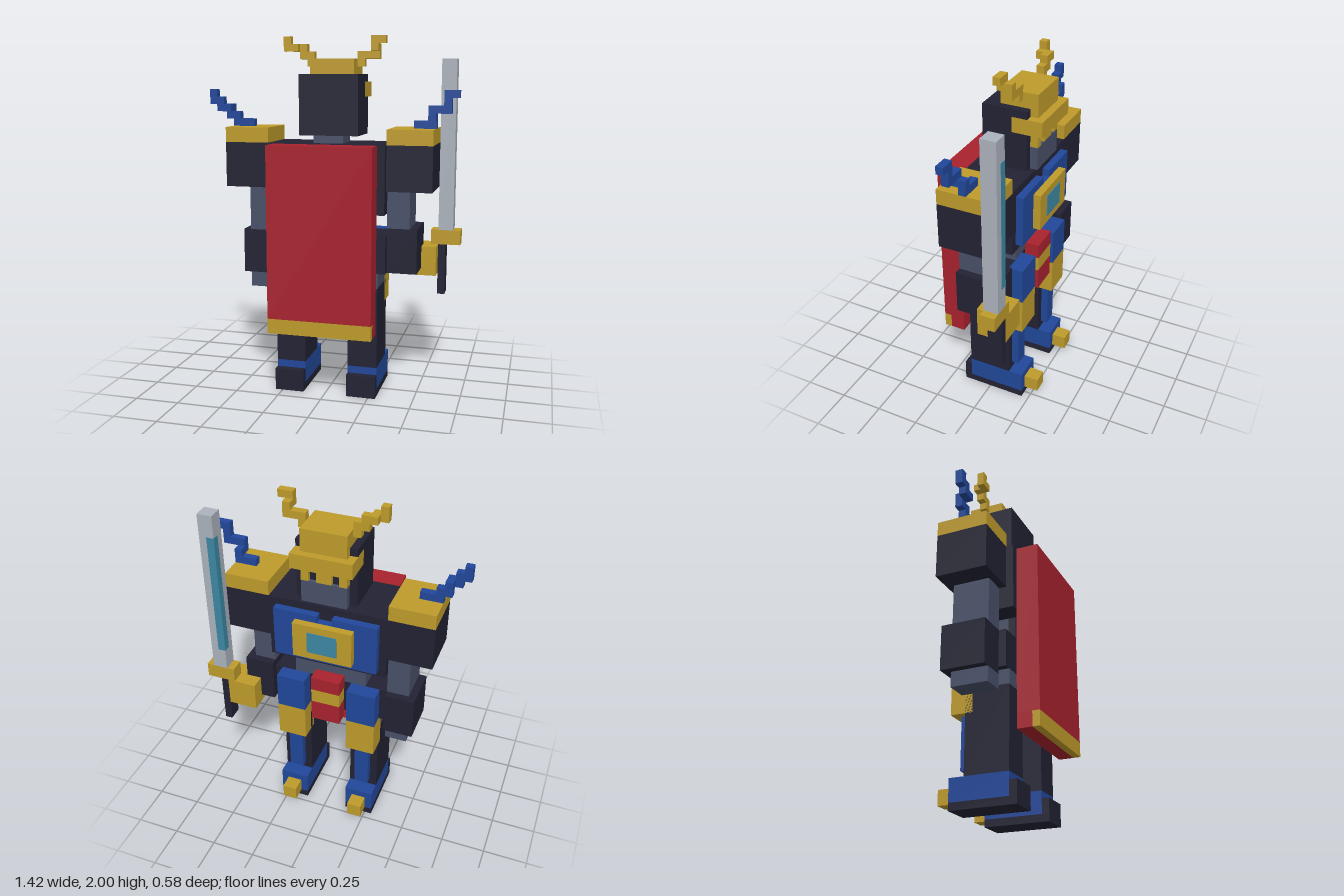
import * as THREE from 'three';

const U = 1 / 24; // size of one block

function mat(name, color) {
  const m = new THREE.MeshStandardMaterial({ color });
  m.name = name;
  return m;
}

export function createModel() {
  const model = new THREE.Group();
  model.name = 'armouredWarrior';
  const dark = mat('darkArmour', 0x222234);
  const grey = mat('slateGrey', 0x485068);
  const gold = mat('gold', 0xbe9b2b);
  const blue = mat('blue', 0x214799);
  const red = mat('red', 0xa8222e);
  const steel = mat('steel', 0xabb2bc);
  const teal = mat('teal', 0x3c87a3);

  // Box from its block ranges on x, y and z
  function box(name, m, x0, x1, y0, y1, z0, z1) {
    const mesh = new THREE.Mesh(new THREE.BoxGeometry((x1 - x0) * U, (y1 - y0) * U, (z1 - z0) * U), m);
    mesh.position.set((x0 + x1) / 2 * U, (y0 + y1) / 2 * U, (z0 + z1) / 2 * U);
    mesh.name = name;
    model.add(mesh);
  }
  // The same box on both sides
  function pair(name, m, x0, x1, ...r) {
    box(name + 'Left', m, x0, x1, ...r);
    box(name + 'Right', m, -x1, -x0, ...r);
  }

  // Feet, toes and legs
  pair('sole', dark, 3, 7, 0, 1, -5, 4);
  pair('heel', dark, 3, 7, 1, 3, 3, 4);
  pair('boot', blue, 3, 7, 1, 4, -5, 3);
  pair('toe', gold, 4, 6, 1, 3, -7, -5);
  pair('leg', dark, 3, 7, 4, 15, -3, 3);
  pair('shinPlate', blue, 4, 6, 5, 12, -4, -3);
  pair('knee', gold, 3, 7, 12, 17, -5, -2);
  pair('thigh', grey, 3, 7, 15, 17, -2, 3);

  // Hips, skirt and waist
  box('hips', dark, -8, 8, 17, 22, -3, 3);
  pair('skirtPlate', blue, 3, 7, 17, 22, -5, -3);
  box('loinClothLower', red, -2, 2, 16, 19, -5, -3);
  box('loinClothBand', gold, -2, 2, 19, 21, -5, -3);
  box('loinClothUpper', red, -2, 2, 21, 23, -5, -3);
  box('waist', grey, -5, 5, 22, 25, -3, 2);
  box('spine', dark, -5, 5, 22, 25, 2, 3);

  // Torso and chest plates
  box('torso', dark, -8, 8, 25, 34, -4, 4);
  pair('chestPlate', blue, 1, 7, 26, 33, -5, -4);
  box('chestPlateMiddle', blue, -1, 1, 26, 32, -5, -4);
  box('chestFrame', gold, -4, 4, 27, 32, -6, -5);
  box('chestWindow', teal, -2, 2, 28, 31, -6.1, -6);

  // Cape with its hem on the outer layer
  box('cape', red, -7, 7, 11, 34, 4, 7);
  box('capeLining', red, -7, 7, 9, 11, 4, 6);
  box('capeHem', gold, -7, 7, 9, 11, 6, 7);

  // Shoulders and arms
  pair('shoulder', dark, 8, 14, 28, 34, -4, 3);
  pair('shoulderCap', gold, 8, 14, 34, 36, -4, 3);
  box('upperArmLeft', grey, 8, 11, 23, 28, -3, 2);
  box('forearmLeft', dark, 8, 12, 17, 23, -4, 2);
  box('handLeft', gold, 10, 14, 16, 20, -6, -2);
  box('upperArmRight', grey, -11, -8, 22, 28, -3, 2);
  box('forearmRight', dark, -12, -8, 16, 22, -4, 2);
  box('handRight', grey, -11, -8, 14, 16, -3, 2);

  // Stepped shoulder horns: x0, x1, y0, y1, z0, z1
  [[11, 14, 36, 37, -1, 0], [13, 14, 37, 38, -1, 0], [13, 14, 38, 39, 0, 1],
    [14, 16, 38, 39, 0, 1], [15, 16, 39, 41, 0, 1], [16, 17, 40, 41, 0, 1],
    [13, 14, 37, 38, 0, 1]].forEach(r => box('shoulderHornLeft', blue, ...r));
  [[-13, -11, 36, 37, -1, 0], [-14, -13, 36, 38, -1, 0], [-15, -14, 37, 39, -1, 0],
    [-15, -14, 38, 39, 0, 1], [-16, -15, 38, 40, 0, 1], [-17, -16, 39, 41, 0, 1]]
    .forEach(r => box('shoulderHornRight', blue, ...r));

  // Sword
  box('swordGrip', dark, 14, 15, 13, 20, -6, -4);
  box('swordGuard', gold, 13, 17, 20, 22, -6, -4);
  box('swordBlade', steel, 14, 16, 22, 45, -6, -4);
  box('bladeGlow', teal, 13.97, 15, 25, 42, -6.03, -5);

  // Head and face
  box('neck', grey, -2, 2, 34, 35, -2, 2);
  box('head', dark, -4, 4, 35, 43, -4, 2);
  box('jaw', grey, -3, 3, 35, 38, -5, -4);
  box('nose', gold, -1, 1, 38, 40, -5, -4);
  pair('cheek', gold, 2, 3, 38, 40, -5, -4);
  pair('eye', dark, 1, 2, 38, 40, -4.5, -4);
  box('brow', gold, -4.03, 4.03, 40, 42, -6, -2);
  box('crownFront', gold, -3, 3, 42, 43, -5, -4);
  box('crown', gold, -3, 3, 43, 45, -5, 0);

  // Stepped crown horns
  [[3, 4, 44, 46, -3, -2], [4, 6, 45, 46, -3, -2], [5, 6, 46, 47, -3, -2],
    [5, 6, 46, 48, -2, -1], [6, 7, 47, 48, -2, -1]].forEach(r => box('crownHornLeft', gold, ...r));
  [[-4, -3, 44, 46, -3, -2], [-5, -4, 45, 47, -3, -2], [-6, -5, 46, 47, -3, -2],
    [-6, -5, 46, 47, -2, -1], [-7, -6, 46, 48, -2, -1]].forEach(r => box('crownHornRight', gold, ...r));

  return model;
}
